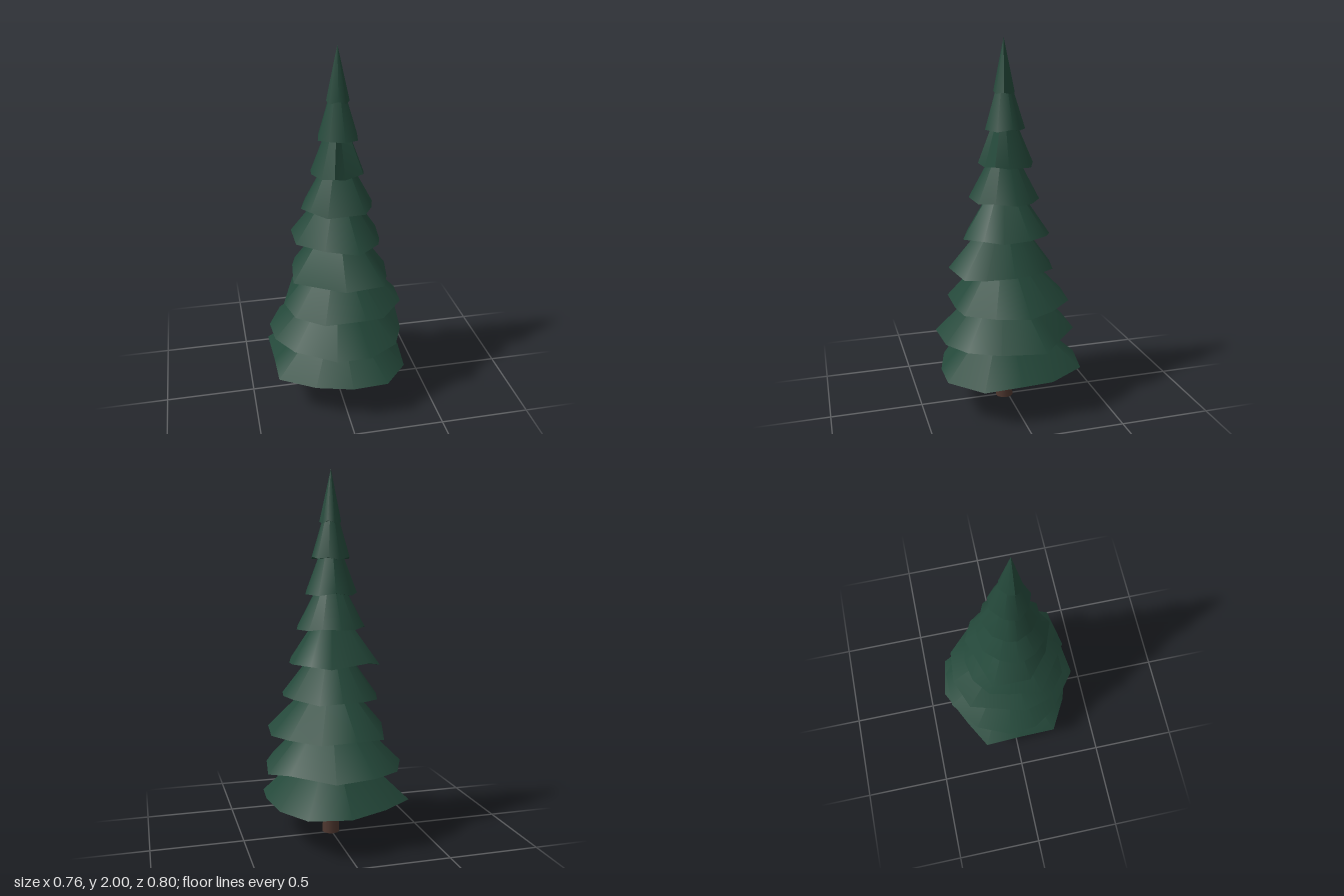
import * as THREE from 'three';
import { toCreasedNormals } from 'three/addons/utils/BufferGeometryUtils.js';

const AXIS_Z = 0.02; // the trunk stands slightly forward of centre

// Irregular closed cone: rim given as flat x, z pairs around the trunk axis
function tierGeometry(baseY, apexY, rim) {
  const pts = [];
  for (let i = 0; i < rim.length; i += 2) {
    pts.push(new THREE.Vector3(rim[i], baseY + 0.008 * Math.sin(i * 1.3 + baseY * 9), rim[i + 1]));
  }
  pts.sort((a, b) => Math.atan2(a.z - AXIS_Z, a.x) - Math.atan2(b.z - AXIS_Z, b.x));
  const apex = new THREE.Vector3(0, apexY, AXIS_Z);
  const under = new THREE.Vector3(0, baseY, AXIS_Z);
  const tris = [];
  pts.forEach((p, i) => {
    const q = pts[(i + 1) % pts.length];
    tris.push(apex, q, p, under, p, q);
  });
  return toCreasedNormals(new THREE.BufferGeometry().setFromPoints(tris), 0.95);
}

export function createModel() {
  const tree = new THREE.Group();
  tree.name = 'firTree';
  const needles = new THREE.MeshStandardMaterial({ color: 0x24483a });
  needles.name = 'needle green';
  const bark = new THREE.MeshStandardMaterial({ color: 0x4e372f });
  bark.name = 'bark brown';

  // Trunk
  const trunk = new THREE.Mesh(new THREE.CylinderGeometry(0.042, 0.049, 0.3, 12), bark);
  trunk.name = 'trunk';
  trunk.position.set(0, 0.15, AXIS_Z);
  tree.add(trunk);

  // Branch tiers, bottom to top
  const foliage = new THREE.Group();
  foliage.name = 'foliage';
  tree.add(foliage);
  const addTier = (baseY, apexY, rim) => {
    const tier = new THREE.Mesh(tierGeometry(baseY, apexY, rim), needles);
    tier.name = 'branchTier' + (foliage.children.length + 1);
    foliage.add(tier);
  };
  addTier(0.215, 0.6, [0.367, 0.02, 0.35, 0.22, 0.21, 0.387, 0.017, 0.387, -0.18, 0.335, -0.37, 0.23,
    -0.37, 0.02, -0.382, -0.2, -0.22, -0.29, 0, -0.4, 0.22, -0.36, 0.33, -0.16]);
  addTier(0.405, 0.79, [0.38, -0.11, 0.345, 0.13, 0.275, 0.29, 0.115, 0.376, -0.075, 0.397, -0.28, 0.24,
    -0.37, 0.106, -0.382, -0.055, -0.3, -0.24, -0.134, -0.365, 0.075, -0.367, 0.28, -0.2]);
  addTier(0.595, 0.96, [0.345, -0.03, 0.33, 0.153, 0.2, 0.29, 0.1, 0.318, -0.123, 0.316, -0.265, 0.2,
    -0.308, 0.053, -0.215, -0.26, -0.047, -0.328, 0.138, -0.312, 0.28, -0.17]);
  addTier(0.785, 1.15, [0.265, 0.032, 0.24, 0.18, 0.2, 0.287, -0.013, 0.328, -0.265, 0.15,
    -0.245, -0.03, -0.215, -0.14, -0.12, -0.217, 0.004, -0.242, 0.125, -0.22, 0.238, -0.09]);
  addTier(0.972, 1.33, [0.232, -0.06, 0.22, 0.08, 0.19, 0.18, 0.07, 0.263, -0.1, 0.2,
    -0.236, 0.085, -0.235, -0.12, -0.165, -0.147, 0.06, -0.22, 0.16, -0.17]);
  addTier(1.163, 1.52, [0.195, 0, 0.165, 0.11, 0.115, 0.19, -0.085, 0.195, -0.165, 0.12,
    -0.198, 0.03, -0.16, -0.07, -0.09, -0.142, -0.01, -0.157, 0.09, -0.15, 0.15, -0.09]);
  addTier(1.345, 1.72, [0.138, 0.03, 0.12, 0.1, 0.02, 0.13, -0.04, 0.152, -0.1, 0.11,
    -0.14, 0.03, -0.135, -0.02, -0.085, -0.09, 0.015, -0.137, 0.1, -0.1]);
  addTier(1.533, 1.89, [0.108, 0, 0.095, 0.08, 0.02, 0.127, -0.055, 0.1,
    -0.105, 0.04, -0.09, -0.03, -0.02, -0.085, 0.04, -0.085, 0.09, -0.04]);
  addTier(1.723, 2, [0.06, 0.035, 0.035, 0.07, -0.005, 0.075, -0.045, 0.055,
    -0.06, 0.03, -0.05, 0, -0.005, -0.04, 0.03, -0.03, 0.05, 0]);

  return tree;
}
